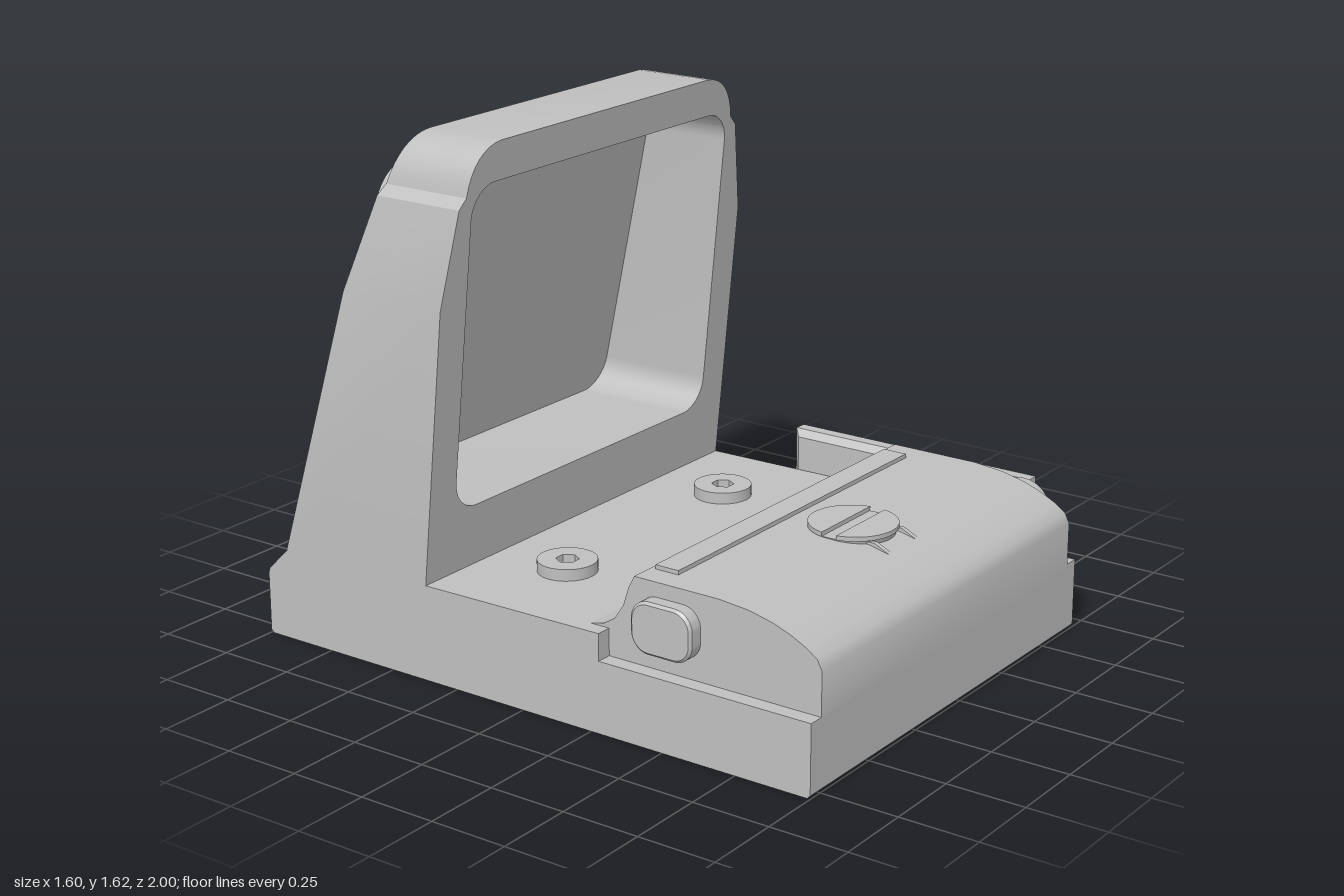
import * as THREE from 'three';
import { toCreasedNormals } from 'three/addons/utils/BufferGeometryUtils.js';

const CX = -0.055; // middle of the body, which sits off centre because of the side plate
const grey = new THREE.MeshStandardMaterial({ color: 0xbfbfbf });
grey.name = 'grey metal';

function add(group, name, geometry, x = 0, y = 0, z = 0) {
  const mesh = new THREE.Mesh(geometry, grey);
  mesh.name = name;
  mesh.position.set(x, y, z);
  group.add(mesh);
  return mesh;
}

// Side profile of [z, y] points swept along x, with an optional chamfer kept inside x0..x1
function sweepX(points, x0, x1, chamfer = 0) {
  const shape = new THREE.Shape(points.map(([z, y]) => new THREE.Vector2(-z, y)));
  const g = new THREE.ExtrudeGeometry(shape, {
    depth: x1 - x0 - 2 * chamfer, bevelEnabled: chamfer > 0, bevelSize: chamfer,
    bevelThickness: chamfer, bevelOffset: -chamfer, bevelSegments: 1,
  });
  g.translate(0, 0, x0 + chamfer);
  g.rotateY(Math.PI / 2);
  return toCreasedNormals(g, 0.5);
}

function roundedRect(path, x0, y0, x1, y1, r) {
  path.moveTo(x0 + r, y0);
  path.lineTo(x1 - r, y0);
  path.absarc(x1 - r, y0 + r, r, -Math.PI / 2, 0);
  path.lineTo(x1, y1 - r);
  path.absarc(x1 - r, y1 - r, r, 0, Math.PI / 2);
  path.lineTo(x0 + r, y1);
  path.absarc(x0 + r, y1 - r, r, Math.PI / 2, Math.PI);
  path.lineTo(x0, y0 + r);
  path.absarc(x0 + r, y0 + r, r, Math.PI, Math.PI * 1.5);
  return path;
}

// Extrudes an x-y outline between two leaning planes, back(y) and front(y)
function leaning(shape, back, front) {
  const g = new THREE.ExtrudeGeometry(shape, { depth: 1, bevelEnabled: false, curveSegments: 8 });
  const p = g.attributes.position;
  for (let i = 0; i < p.count; i++) {
    const y = p.getY(i);
    p.setZ(i, THREE.MathUtils.lerp(back(y), front(y), p.getZ(i)));
  }
  return toCreasedNormals(g, 0.5);
}

function xCylinder(r, length) {
  return new THREE.CylinderGeometry(r, r, length, 32).rotateZ(Math.PI / 2);
}

export function createModel() {
  const model = new THREE.Group();
  model.name = 'reflexSight';

  // Base with a low shelf in front and a sloped rear edge
  add(model, 'base', sweepX([
    [1, 0.01], [1, 0.225], [0.28, 0.225], [0.28, 0.31], [-0.9, 0.3], [-0.925, 0.285],
    [-0.995, 0.215], [-1, 0.2], [-1, 0.01], [-0.99, 0], [0.99, 0],
  ], -0.8, 0.69));

  // Raised front housing
  add(model, 'frontHousing', sweepX([
    [1, 0.2], [1, 0.36], [0.985, 0.39], [0.95, 0.415], [0.9, 0.44], [0.84, 0.462],
    [0.76, 0.48], [0.66, 0.489], [0.37, 0.489], [0.35, 0.45], [0.33, 0.39], [0.3, 0.345],
    [0.26, 0.32], [0.21, 0.309], [0.21, 0.2],
  ], -0.75, 0.64));

  // Window hood
  const hood = new THREE.Shape();
  const half = 0.745;
  hood.moveTo(CX - half, 0.29);
  hood.lineTo(CX + half, 0.29);
  hood.lineTo(CX + half, 1.16);
  hood.lineTo(CX + 0.685, 1.45);
  hood.lineTo(CX + 0.655, 1.48);
  hood.bezierCurveTo(CX + 0.64, 1.57, CX + 0.59, 1.62, CX + 0.51, 1.625);
  hood.lineTo(CX - 0.51, 1.625);
  hood.bezierCurveTo(CX - 0.59, 1.62, CX - 0.64, 1.57, CX - 0.655, 1.48);
  hood.lineTo(CX - 0.685, 1.45);
  hood.lineTo(CX - half, 1.16);
  hood.closePath();
  hood.holes.push(roundedRect(new THREE.Path(), -0.683, 0.5, 0.575, 1.505, 0.1));
  add(model, 'hood', leaning(hood,
    (y) => -0.5 - (1.625 - y) * 0.315,
    (y) => -0.23 - (1.625 - y) * 0.099));

  // Window pane, steeper than the back of the hood
  const pane = roundedRect(new THREE.Shape(), -0.7, 0.47, 0.59, 1.53, 0.11);
  const paneBack = (y) => -0.57 - (1.53 - y) * 0.214;
  add(model, 'windowPane', leaning(pane, paneBack, (y) => paneBack(y) + 0.04));

  // Raised strip along the rear of the housing
  add(model, 'topStrip', new THREE.BoxGeometry(1.22, 0.03, 0.08), -0.06, 0.487, 0.425);

  // Slotted adjuster: boss, two half discs and supporting fins
  add(model, 'adjusterBoss', new THREE.CylinderGeometry(0.132, 0.1, 0.1, 40), CX, 0.442, 0.655);
  for (const s of [1, -1]) {
    const segment = new THREE.Shape();
    const a = Math.asin(0.025 / 0.135);
    segment.absarc(0, 0, 0.135, a, Math.PI - a);
    const g = new THREE.ExtrudeGeometry(segment, { depth: 0.014, bevelEnabled: false, curveSegments: 24 });
    g.rotateX(-Math.PI / 2);
    const disc = add(model, 'adjusterHalf', g, CX, 0.491, 0.655);
    if (s < 0) disc.rotation.y = Math.PI;
    add(model, 'adjusterFin', sweepX([[0.7, 0.4], [0.89, 0.436], [0.78, 0.488], [0.7, 0.488]], -0.008, 0.008), CX + s * 0.075);
  }

  // Rear sighting bump behind the housing
  const bump = new THREE.SphereGeometry(0.085, 20, 10, 0, Math.PI * 2, 0, Math.PI / 2);
  bump.scale(1, 1.5, 0.6);
  add(model, 'emitterBump', bump, CX, 0.31, 0.32);

  // Hex socket screws on the deck
  for (const x of [-0.46, 0.35]) {
    const head = new THREE.Shape().absarc(0, 0, 0.092, 0, Math.PI * 2);
    const hex = new THREE.Path();
    hex.setFromPoints(Array.from({ length: 6 }, (_, i) =>
      new THREE.Vector2(0.036 * Math.cos(i * Math.PI / 3), 0.036 * Math.sin(i * Math.PI / 3))));
    hex.closePath();
    head.holes.push(hex);
    const g = new THREE.ExtrudeGeometry(head, { depth: 0.037, bevelEnabled: false, curveSegments: 24 });
    g.rotateX(-Math.PI / 2);
    add(model, 'deckScrew', toCreasedNormals(g, 0.5), x, 0.307, -0.095);
  }

  // Side buttons
  for (const s of [1, -1]) {
    const shape = roundedRect(new THREE.Shape(), -0.6, 0.285, -0.39, 0.445, 0.06);
    const outline = shape.getPoints(6).map((p) => [-p.x, p.y]);
    const x = CX + s * 0.717;
    add(model, 'sideButton', sweepX(outline, x - 0.028, x + 0.028, 0.008));
  }
  add(model, 'sideScrew', xCylinder(0.095, 0.09), 0.63, 0.365, 0.82);

  // Chamfered plate on the left side with its two bolts
  add(model, 'sidePlate', sweepX([
    [0.815, 0.07], [0.815, 0.44], [-0.055, 0.44], [-0.055, 0.07],
  ], 0.695, 0.78, 0.022));
  for (const z of [0.66, 0.1]) add(model, 'plateBolt', xCylinder(0.053, 0.04), 0.78, 0.19, z);

  return model;
}
